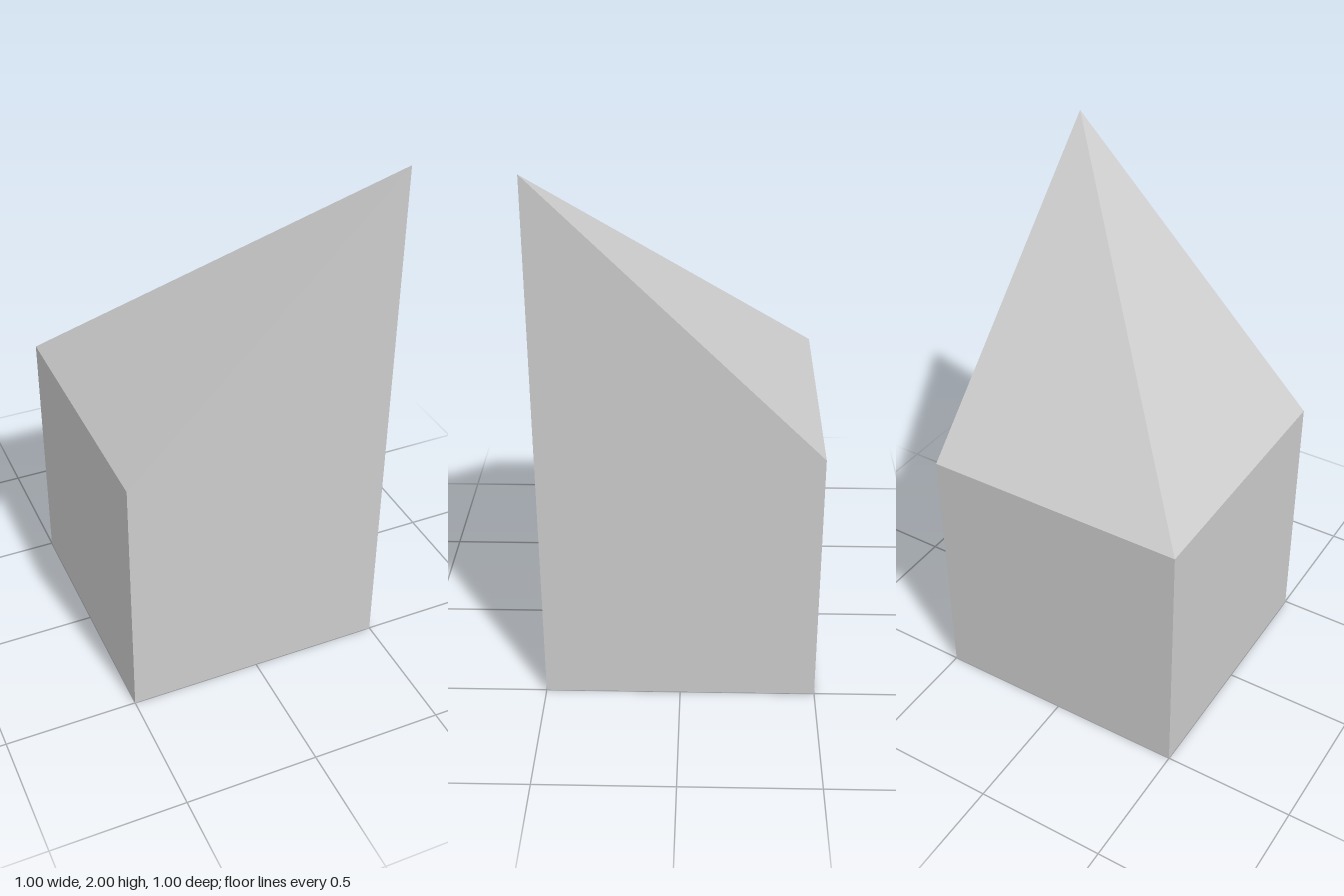
import * as THREE from 'three';
import { ConvexGeometry } from 'three/addons/geometries/ConvexGeometry.js';

export function createModel() {
  const group = new THREE.Group();
  group.name = 'slantedBlock';
  const half = 0.5, shoulder = 1, peak = 2;

  // Square column whose front left corner rises to a peak
  const corners = [];
  for (const x of [-half, half]) {
    for (const z of [-half, half]) {
      const top = x > 0 && z > 0 ? peak : shoulder;
      corners.push(new THREE.Vector3(x, 0, z), new THREE.Vector3(x, top, z));
    }
  }

  const material = new THREE.MeshStandardMaterial({ color: 0xcccccc, flatShading: true });
  const block = new THREE.Mesh(new ConvexGeometry(corners), material);
  block.name = 'peakedBlock';
  group.add(block);
  return group;
}
